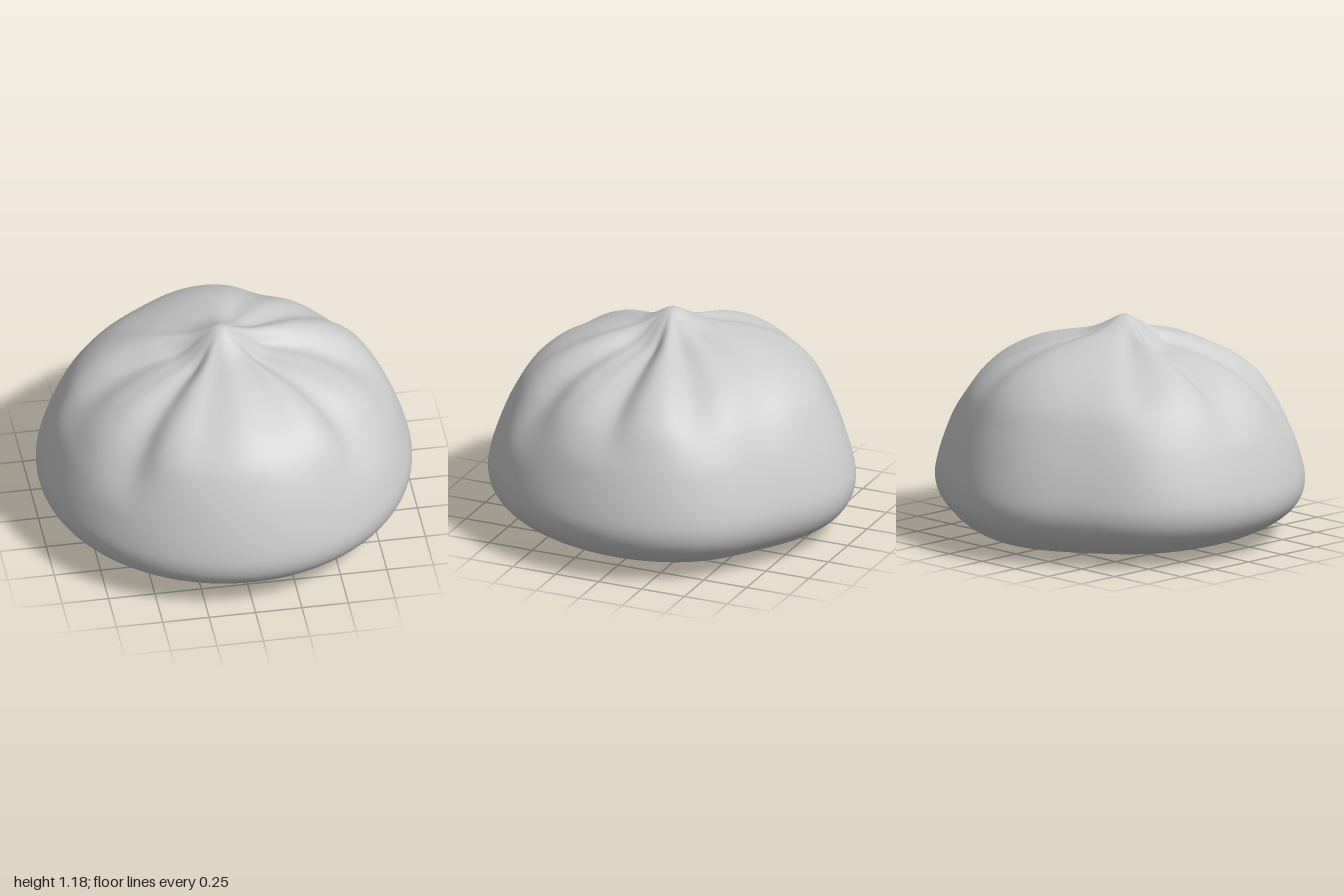
import * as THREE from 'three';
import { mergeVertices } from 'three/addons/utils/BufferGeometryUtils.js';

// Profile of the dough from the middle of the base to the pinched tip
const PROFILE = [
  [0, 0.015], [0.3, 0.017], [0.6, 0.035], [0.8, 0.08], [0.93, 0.155], [0.985, 0.23], [1, 0.31],
  [0.985, 0.4], [0.94, 0.54], [0.88, 0.68], [0.8, 0.82], [0.7, 0.92], [0.6, 0.985], [0.45, 1.052],
  [0.3, 1.095], [0.17, 1.125], [0.08, 1.165], [0.03, 1.193], [0, 1.197],
];

// Pleats: angle from +x towards +z, depth, width before and after the fold line, lowest height
const PLEATS = [
  [42, 0.085, 9, 6, 0.5],
  [4, 0.1, 6, 11, 0.6],
  [24, 0.03, 5, 5, 0.7],
  [177, 0.1, 11, 6, 0.6],
  [157, 0.025, 5, 5, 0.7],
  [137, 0.085, 6, 9, 0.5],
  [72, 0.025, 6, 8, 0.65],
  [108, 0.02, 8, 6, 0.65],
  [-32, 0.05, 8, 6, 0.6],
  [-64, 0.025, 7, 8, 0.6],
  [-146, 0.03, 7, 7, 0.65],
];

const angleGap = (a, b) => ((a - b + 540) % 360 + 360) % 360 - 180;
const bell = (d, w) => Math.exp(-0.5 * (d / w) ** 2);

// Fraction by which the dough is pulled inwards at an angle, height and radius
function pleatDepth(angle, y, r) {
  let sum = 0;
  for (const [at, depth, before, after, low] of PLEATS) {
    const d = angleGap(angle, at);
    const fade = THREE.MathUtils.smoothstep(y, low, low + 0.4) * THREE.MathUtils.smoothstep(r, 0.04, 0.3);
    const spread = 1 + 0.6 * (1 - Math.min(r / 0.7, 1)); // folds widen in angle near the knot
    sum += depth * fade * bell(d, (d < 0 ? before : after) * spread);
  }
  return sum;
}

function createDough() {
  const curve = new THREE.CatmullRomCurve3(PROFILE.map(([r, y]) => new THREE.Vector3(r, y, 0)), false, 'centripetal');
  const points = curve.getSpacedPoints(90).map((p) => new THREE.Vector2(Math.max(p.x, 0), p.y));
  points[0].x = points[90].x = 0;
  let geometry = new THREE.LatheGeometry(points, 192);
  geometry.deleteAttribute('uv');
  geometry.deleteAttribute('normal');
  geometry = mergeVertices(geometry, 1e-5);

  const pos = geometry.attributes.position;
  const p = new THREE.Vector3();
  const core = new THREE.Vector3(0, 0.4, 0);
  for (let i = 0; i < pos.count; i++) {
    p.fromBufferAttribute(pos, i);
    const r = Math.hypot(p.x, p.z);
    const y = p.y;
    const angle = THREE.MathUtils.radToDeg(Math.atan2(p.z, p.x));

    // Press the folds in towards the core
    p.sub(core).multiplyScalar(1 - pleatDepth(angle, y, r)).add(core);

    // Slightly flattened shoulders at the back
    const flat = 1 - 0.06 * (bell(angleGap(angle, -58), 15) + bell(angleGap(angle, -122), 15));
    p.x *= flat;
    p.z *= flat;

    // Knot leans a little forward, base is a little higher at the front
    const top = THREE.MathUtils.smoothstep(y, 1.02, 1.18);
    p.x -= 0.025 * top;
    p.z += 0.03 * top;
    p.y += 0.015 * p.z * (1 - THREE.MathUtils.smoothstep(y, 0.05, 0.3));
    pos.setXYZ(i, p.x, p.y, p.z);
  }
  geometry.computeVertexNormals();
  return geometry;
}

export function createModel() {
  const group = new THREE.Group();
  group.name = 'steamedBun';
  const dough = new THREE.Mesh(createDough(), new THREE.MeshStandardMaterial({ color: 0xcccccc, roughness: 0.8 }));
  dough.name = 'pleatedDough';
  group.add(dough);

  // Stand the bun on the ground
  dough.geometry.computeBoundingBox();
  dough.position.y = -dough.geometry.boundingBox.min.y;
  return group;
}
